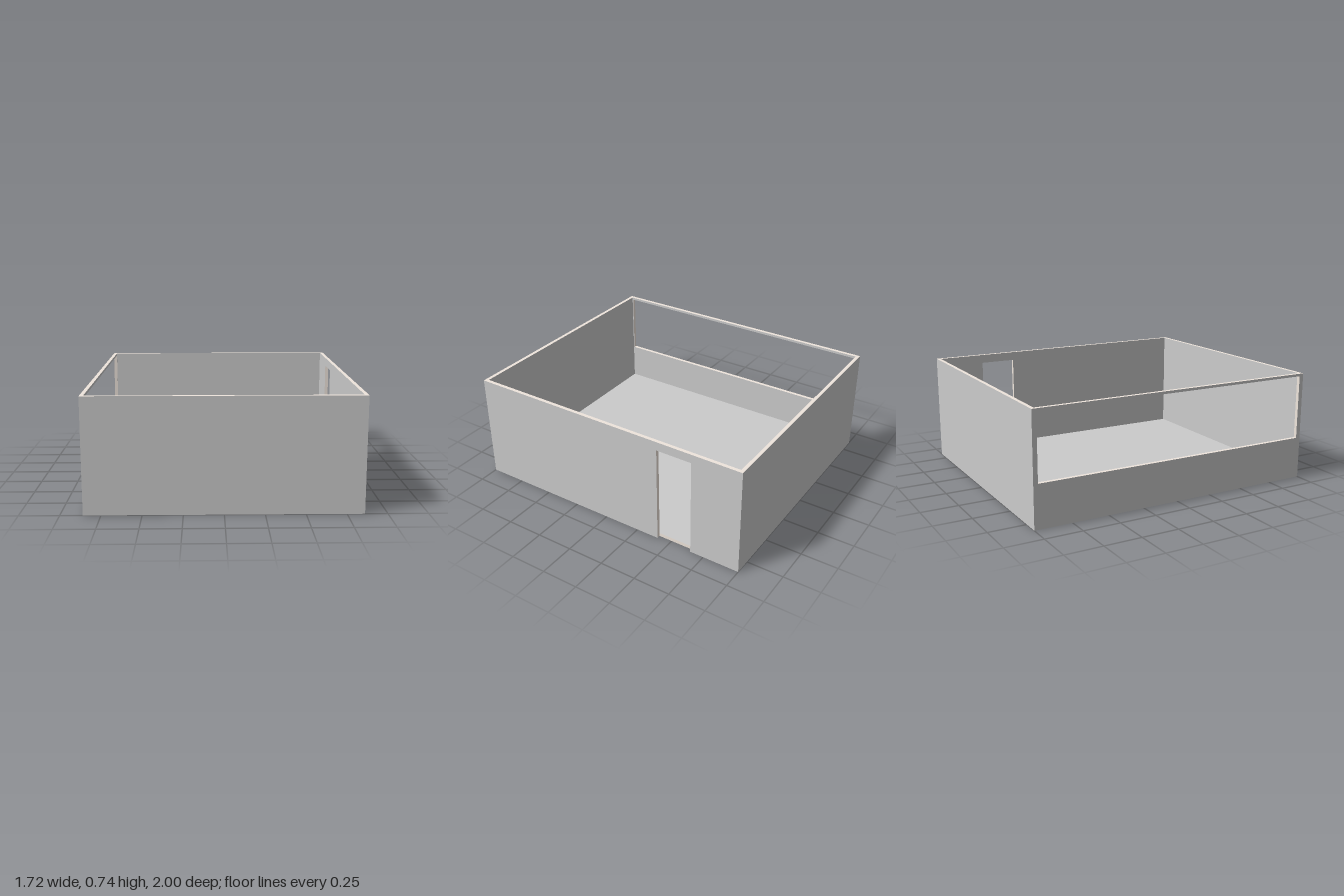
import * as THREE from 'three';

const W = 0.86, D = 1, H = 0.735, T = 0.024; // half width, half depth, height, wall thickness
const grey = new THREE.MeshStandardMaterial({ color: 0xcccccc });
const edge = new THREE.MeshStandardMaterial({ color: 0xefe5dc });

const polygon = (pts, Type = THREE.Shape) => new Type(pts.map(([x, y]) => new THREE.Vector2(x, y)));

// Wall with its outer face on local z = 0, thickness inwards, ends mitred at 45 degrees
function wall(name, half, outline, hole) {
  const shape = polygon(outline);
  if (hole) shape.holes.push(polygon(hole, THREE.Path));
  const geo = new THREE.ExtrudeGeometry(shape, { depth: T, bevelEnabled: false });
  geo.translate(0, 0, -T);
  const p = geo.attributes.position;
  for (let i = 0; i < p.count; i++) {
    if (p.getZ(i) < -T / 2) p.setX(i, THREE.MathUtils.clamp(p.getX(i), -half + T, half - T));
  }
  geo.computeVertexNormals();
  const mesh = new THREE.Mesh(geo, [grey, edge]);
  mesh.name = name;
  return mesh;
}

const rect = (x0, x1, y0, y1) => [[x0, y0], [x1, y0], [x1, y1], [x0, y1]];

export function createModel() {
  const room = new THREE.Group();
  room.name = 'room';

  // Plain front and back walls
  const front = wall('frontWall', W, rect(-W, W, 0, H));
  front.position.z = D;
  const back = wall('backWall', W, rect(-W, W, 0, H));
  back.position.z = -D;
  back.rotation.y = Math.PI;

  // Wall with a doorway down to the ground (local x = -z)
  const d0 = 0.407, d1 = 0.655, doorTop = 0.675;
  const door = wall('doorWall', D, [
    [-D, 0], [d0, 0], [d0, doorTop], [d1, doorTop], [d1, 0], [D, 0], [D, H], [-D, H],
  ]);
  door.position.x = W;
  door.rotation.y = Math.PI / 2;

  // Wall with a wide window above a parapet
  const win = wall('windowWall', D, rect(-D, D, 0, H), rect(-0.97, 0.97, 0.285, 0.718));
  win.position.x = -W;
  win.rotation.y = -Math.PI / 2;

  // Floor slab set between the walls: grey on top, pale on the other faces
  const floor = new THREE.Mesh(
    new THREE.BoxGeometry(2 * (W - T), T, 2 * (D - T)),
    [edge, edge, grey, edge, edge, edge],
  );
  floor.name = 'floor';
  floor.position.y = T / 2;

  room.add(front, back, door, win, floor);
  return room;
}
